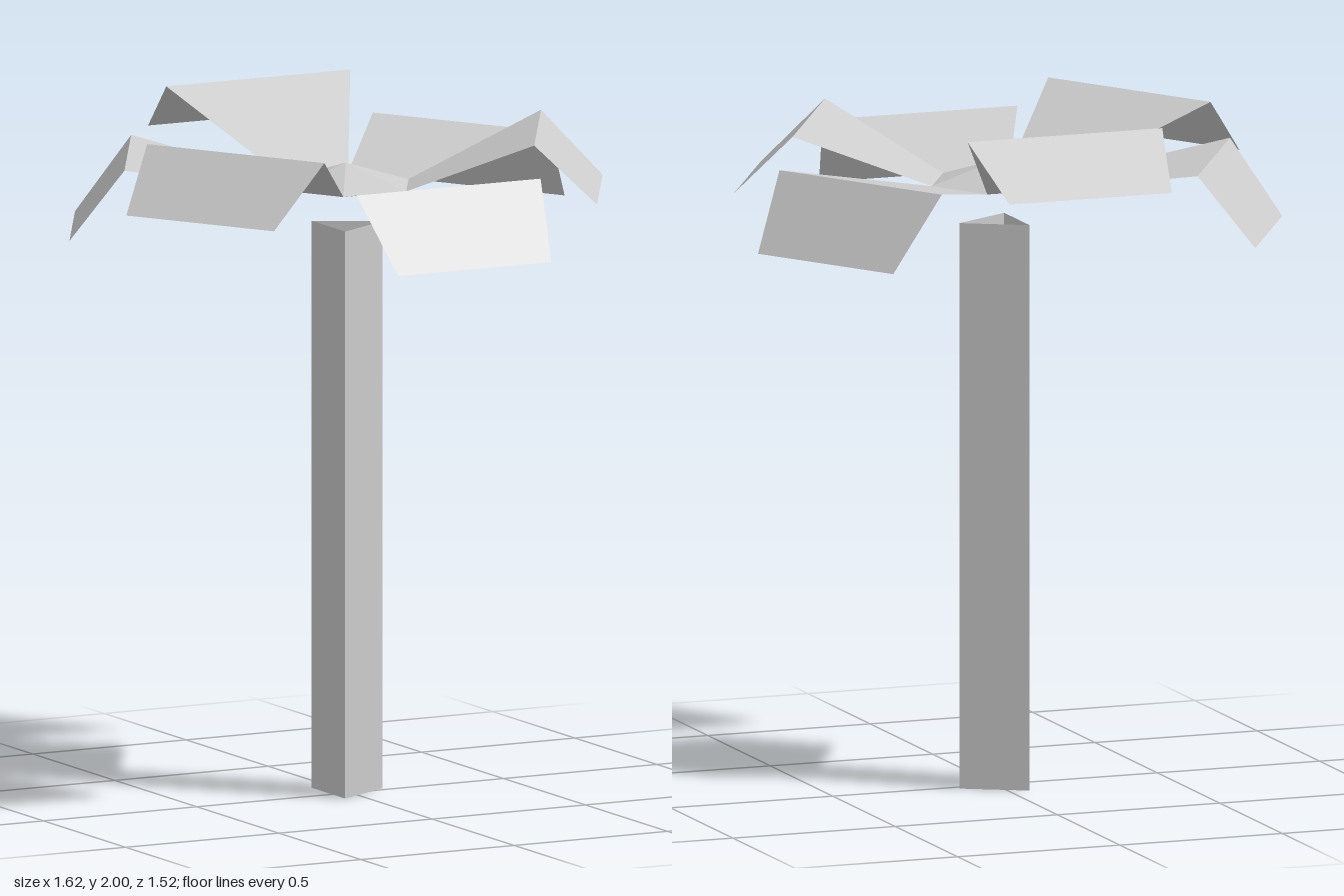
import * as THREE from 'three';

const material = new THREE.MeshStandardMaterial({
  color: 0xcccccc, flatShading: true, side: THREE.DoubleSide,
});

const RIM_Y = 1.77, HUB_RADIUS = 0.205;

// One petal: a blade rising from the hub, then a tip folded downwards.
// Each row is [half width, height, distance from the hub centre].
function petalGeometry(foldRadius, foldY, tipRadius, tipY) {
  const rows = [
    [HUB_RADIUS / 2, RIM_Y, HUB_RADIUS * Math.cos(Math.PI / 6)],
    [0.3, foldY, foldRadius],
    [0.25, tipY, tipRadius],
  ];
  const geometry = new THREE.PlaneGeometry(2, 1, 1, 2);
  const position = geometry.attributes.position;
  for (let i = 0; i < position.count; i++) {
    const [halfWidth, y, z] = rows[Math.floor(i / 2)];
    position.setXYZ(i, position.getX(i) * halfWidth, y, z);
  }
  const flat = geometry.toNonIndexed();
  flat.computeVertexNormals();
  return flat;
}

export function createModel() {
  const model = new THREE.Group();
  model.name = 'flower';

  // Open three-sided stem
  const stem = new THREE.Mesh(
    new THREE.CylinderGeometry(0.118, 0.118, 1.655, 3, 1, true, Math.PI / 2), material);
  stem.name = 'stem';
  stem.position.set(0, 1.655 / 2, -0.022);
  model.add(stem);

  // Flower head
  const head = new THREE.Group();
  head.name = 'flowerHead';
  head.position.z = -0.027;
  model.add(head);

  // Shallow six-sided centre, open underneath
  const centre = new THREE.Mesh(
    new THREE.ConeGeometry(HUB_RADIUS, 0.065, 6, 1, true, Math.PI / 6), material);
  centre.name = 'flowerCentre';
  centre.position.y = RIM_Y + 0.065 / 2;
  head.add(centre);

  // Petals in 60 degree steps from the front: fold radius, fold height, tip radius, tip height
  const petals = [
    ['frontPetal', 0.627, 1.86, 0.787, 1.645],
    ['frontLeftPetal', 0.552, 1.94, 0.731, 1.76],
    ['backLeftPetal', 0.63, 1.86, 0.79, 1.645],
    ['backPetal', 0.533, 2.0, 0.738, 1.85],
    ['backRightPetal', 0.627, 1.86, 0.787, 1.645],
    ['frontRightPetal', 0.599, 1.95, 0.793, 1.775],
  ];
  petals.forEach(([name, ...sizes], i) => {
    const petal = new THREE.Mesh(petalGeometry(...sizes), material);
    petal.name = name;
    petal.rotation.y = i * Math.PI / 3;
    head.add(petal);
  });

  return model;
}
